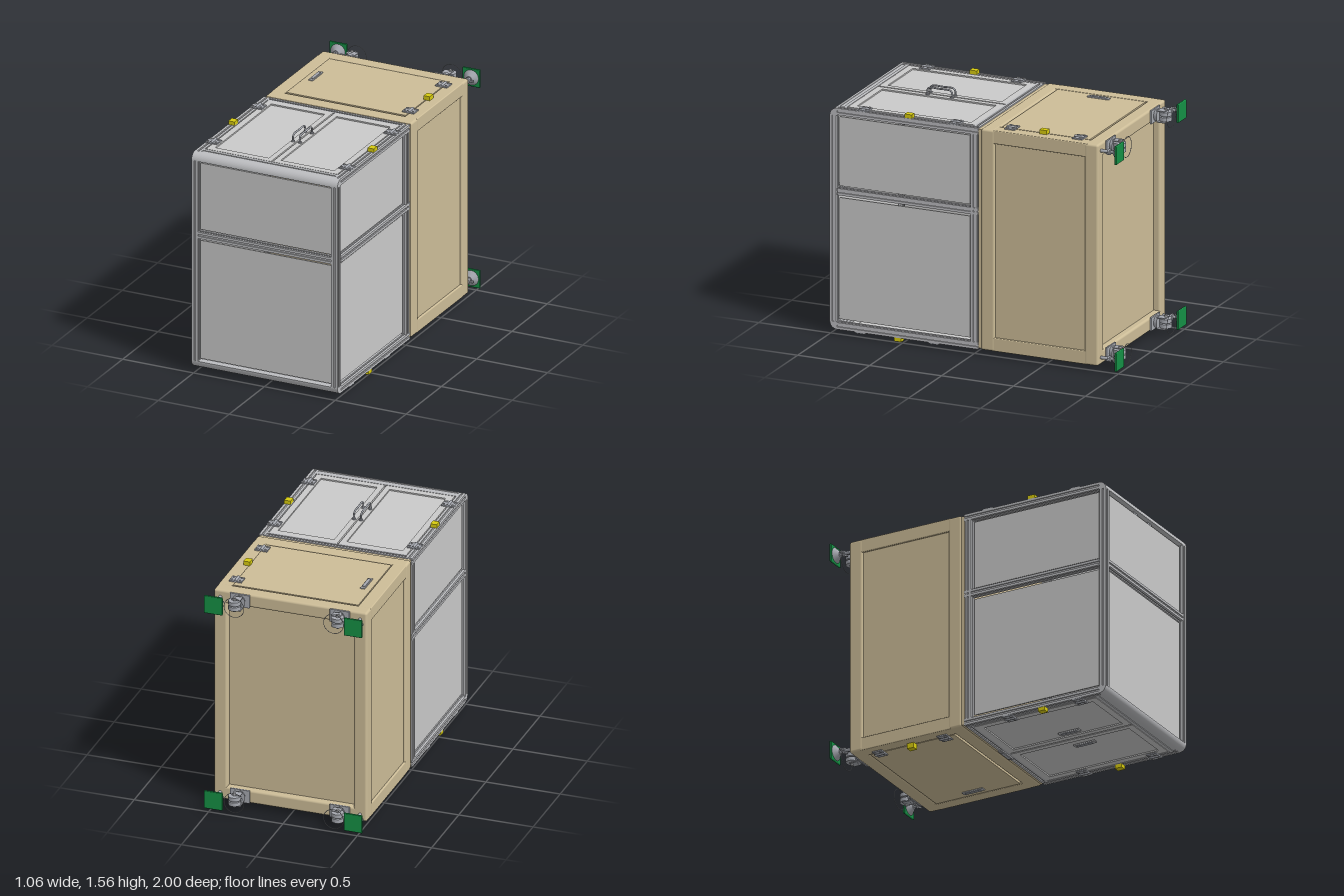
import * as THREE from 'three';
import { RoundedBoxGeometry } from 'three/addons/geometries/RoundedBoxGeometry.js';

const paint = (name, color) => {
  const m = new THREE.MeshStandardMaterial({ color });
  m.name = name;
  return m;
};

export function createModel() {
  const root = new THREE.Group();
  root.name = 'cabinetWithCage';
  const tan = paint('tan board', 0xcdbd98);
  const panelGrey = paint('panel grey', 0xcacaca);
  const frameGrey = paint('frame grey', 0xbcbdc0);
  const steel = paint('steel', 0xa6a9b0);
  const green = paint('green pad', 0x159045);
  const yellow = paint('yellow latch', 0xd8cc10);

  const add = (name, geo, mat, parent = root) => {
    const m = new THREE.Mesh(geo, mat);
    m.name = name;
    parent.add(m);
    return m;
  };
  // box given by its two extreme corners; r rounds the edges
  const block = (name, mat, x0, x1, y0, y1, z0, z1, r = 0, parent = root) => {
    const s = [Math.abs(x1 - x0), Math.abs(y1 - y0), Math.abs(z1 - z0)];
    const g = r ? new RoundedBoxGeometry(...s, 3, r) : new THREE.BoxGeometry(...s);
    add(name, g, mat, parent).position.set((x0 + x1) / 2, (y0 + y1) / 2, (z0 + z1) / 2);
  };
  const rod = (name, mat, r0, r1, len, axis, x, y, z, parent = root) => {
    const g = new THREE.CylinderGeometry(r0, r1, len, 24);
    if (axis === 'z') g.rotateX(Math.PI / 2);
    if (axis === 'x') g.rotateZ(Math.PI / 2);
    add(name, g, mat, parent).position.set(x, y, z);
  };

  const W = 0.515, B = 0.035, T = 1.505, MID = (B + T) / 2;

  // ---- slotted frame rails of the front cage ----
  const slotted = () => {
    const h = 0.0225, n = 0.006, d = 0.008, s = new THREE.Shape();
    for (let i = 0; i < 4; i++) {
      const c = Math.cos(i * Math.PI / 2), q = Math.sin(i * Math.PI / 2);
      [[-h, -h], [-n, -h], [-n, -h + d], [n, -h + d], [n, -h]].forEach(([a, b], k) => {
        const x = a * c - b * q, y = a * q + b * c;
        i || k ? s.lineTo(x, y) : s.moveTo(x, y);
      });
    }
    return s;
  };
  const rail = (name, axis, len, x, y, z) => {
    const g = new THREE.ExtrudeGeometry(slotted(), { depth: len, bevelEnabled: false });
    g.translate(0, 0, -len / 2);
    if (axis === 'x') g.rotateY(Math.PI / 2);
    if (axis === 'y') g.rotateX(Math.PI / 2);
    add(name, g, frameGrey).position.set(x, y, z);
  };
  const E = 0.0225;
  for (const sx of [-1, 1]) {
    const x = sx * (W - E);
    rail('frontPost', 'y', 1.38, x, MID, 1 - E);
    rail('rearPost', 'y', 1.38, x, MID, -0.0025);
    for (const y of [T - E, 0.95, B + E]) rail('sideRail', 'z', 0.98, x, y, 0.46);
    // side panels, with a narrow gap round them
    block('upperSidePanel', panelGrey, sx * 0.485, sx * 0.495, 0.985, 1.445, 0.035, 0.94);
    block('lowerSidePanel', panelGrey, sx * 0.485, sx * 0.495, 0.1, 0.907, 0.035, 0.94);
  }
  rail('frontMiddleRail', 'x', 0.94, 0, 0.95, 1 - E);
  block('upperFrontPanel', panelGrey, -0.46, 0.46, 0.985, 1.44, 0.97, 0.98);
  block('lowerFrontPanel', panelGrey, -0.46, 0.46, 0.1, 0.91, 0.97, 0.98);

  // rounded front edge rails, top and bottom
  const edge = new THREE.Shape();
  edge.moveTo(0, 0);
  edge.lineTo(0.05, 0);
  edge.absarc(0, 0, 0.05, 0, Math.PI / 2, false);
  edge.lineTo(0, 0);
  for (const top of [true, false]) {
    const g = new THREE.ExtrudeGeometry(edge, { depth: 2 * W, bevelEnabled: false, curveSegments: 10 });
    g.translate(0, 0, -W).rotateY(-Math.PI / 2);
    if (!top) g.rotateX(Math.PI / 2);
    add('roundedEdgeRail', g, frameGrey).position.set(0, top ? T - 0.05 : B + 0.05, 0.95);
  }

  // ---- top and bottom lids, doors and fittings ----
  for (const up of [1, -1]) {
    const Y = d => (up > 0 ? T + d : B - d); // d is height above the outer face
    const flat = (name, mat, x0, x1, d0, d1, z0, z1, r = 0) =>
      block(name, mat, x0, x1, Y(d0), Y(d1), z0, z1, r);
    rail('rearCrossRail', 'x', 0.94, 0, Y(-E), -0.0075);
    flat('frontCrossRail', frameGrey, -0.47, 0.47, -0.03, 0, 0.902, 0.925);
    flat('frontCrossRail', frameGrey, -0.47, 0.47, -0.03, -0.003, 0.928, 0.955);

    const hinge = (x, z) => {
      for (const k of [-1, 1]) {
        flat('hingeLeaf', steel, x + k * 0.008, x + k * 0.042, 0, 0.008, z - 0.035, z + 0.035);
        for (const j of [-1, 1])
          rod('hingeScrew', frameGrey, 0.007, 0.007, 0.006, 'y', x + k * 0.028, Y(0.01), z + j * 0.02);
      }
      rod('hingePin', steel, 0.009, 0.009, 0.07, 'z', x, Y(0.008), z);
    };
    const pull = (x, z, alongX) => {
      const a = alongX ? 0.07 : 0.015, b = alongX ? 0.015 : 0.075;
      flat('pullPlate', frameGrey, x - a, x + a, -0.004, 0.005, z - b, z + b);
      flat('pullGrip', steel, x - a * 0.75, x + a * 0.75, 0.004, 0.01, z - b * 0.75, z + b * 0.75, 0.002);
    };

    const hz = up > 0 ? [0.14, 0.775] : [0.28, 0.79];
    for (const sx of [-1, 1]) {
      // framed cage door
      const a = 0.005, b = 0.463;
      flat('doorStile', panelGrey, sx * a, sx * 0.042, -0.018, 0, 0.015, 0.898);
      flat('doorStile', panelGrey, sx * 0.42, sx * b, -0.018, 0, 0.015, 0.898);
      flat('doorRail', panelGrey, sx * 0.042, sx * 0.42, -0.018, 0, 0.015, 0.06);
      flat('doorRail', panelGrey, sx * 0.042, sx * 0.42, -0.018, 0, 0.852, 0.898);
      flat('doorPanel', panelGrey, sx * 0.04, sx * 0.422, -0.016, -0.009, 0.058, 0.854);
      hz.forEach(z => hinge(sx * 0.472, z));
      const zl = up > 0 ? 0.455 : 0.53;
      flat('yellowLatch', yellow, sx * 0.47, sx * 0.513, 0, 0.025, zl - 0.025, zl + 0.025);
      if (up > 0) {
        // bow handle
        const pts = [[1.5, 0.375], [1.54, 0.375], [1.553, 0.39], [1.554, 0.46], [1.553, 0.53], [1.54, 0.545], [1.5, 0.545]]
          .map(([y, z]) => new THREE.Vector3(sx * 0.024, y, z));
        add('doorHandle', new THREE.TubeGeometry(new THREE.CatmullRomCurve3(pts), 40, 0.006, 10), steel);
        for (const z of [0.375, 0.545]) rod('handleFoot', steel, 0.012, 0.012, 0.008, 'y', sx * 0.024, 1.508, z);
        block('doorCatch', steel, sx * 0.065, sx * 0.115, 1.445, 1.46, 0.95, 0.975);
      } else pull(sx * 0.1, 0.5, false);
    }
    // cabinet door
    flat('cabinetDoor', tan, -0.421, 0.421, -0.03, -0.002, -0.765, -0.155);
    [-0.225, -0.695].forEach(z => hinge(up * 0.42, z));
    flat('yellowLatch', yellow, up * 0.412, up * 0.455, 0, up > 0 ? 0.028 : 0.035, -0.48, -0.43);
    pull(up * -0.367, -0.465, false);
    if (up < 0) pull(0, -0.02, true);
  }

  // ---- tan cabinet: core and twelve rounded beams ----
  block('cabinetCore', tan, -0.5, 0.5, 0.06, 1.48, -0.82, -0.03);
  block('cabinetLip', tan, -0.508, 0.508, 0.043, 1.497, -0.06, -0.03);
  const beams = [[-0.145, -0.05], [-0.865, -0.77]];
  for (const [z0, z1] of beams) {
    for (const sx of [-1, 1]) block('cabinetPost', tan, sx * 0.425, sx * W, B, T, z0, z1, 0.015);
    block('cabinetCrossBeam', tan, -W, W, T - 0.09, T, z0, z1, 0.015);
    block('cabinetCrossBeam', tan, -W, W, B, B + 0.09, z0, z1, 0.015);
  }
  for (const sx of [-1, 1]) {
    block('cabinetSideBeam', tan, sx * 0.425, sx * 0.513, T - 0.09, T - 0.001, -0.79, -0.13, 0.006);
    block('cabinetSideBeam', tan, sx * 0.425, sx * 0.513, B + 0.001, B + 0.09, -0.79, -0.13, 0.006);
  }

  // ---- castors and levelling feet on the back ----
  for (const sx of [-1, 1]) for (const y of [0.0825, 1.4575]) {
    const foot = new THREE.Group();
    foot.name = 'levellingFoot';
    foot.position.set(sx * 0.47, y, 0);
    root.add(foot);
    block('greenPad', green, -0.062, 0.062, -0.062, 0.062, -1, -0.986, 0.005, foot);
    rod('footCone', steel, 0.018, 0.052, 0.03, 'z', 0, 0, -0.971, foot);
    rod('footStem', steel, 0.011, 0.011, 0.1, 'z', 0, 0, -0.91, foot);
    rod('footNut', steel, 0.02, 0.02, 0.014, 'z', 0, 0, -0.925, foot);
    block('wingNut', steel, -0.045, 0.045, -0.006, 0.006, -0.94, -0.922, 0.003, foot);

    const castor = new THREE.Group();
    castor.name = 'castor';
    castor.position.set(sx * 0.335, y, 0);
    root.add(castor);
    block('castorPlate', steel, -0.066, 0.066, -0.045, 0.045, -0.877, -0.864, 0.003, castor);
    rod('castorSwivel', steel, 0.035, 0.045, 0.025, 'z', 0, 0, -0.888, castor);
    for (const k of [-1, 1]) {
      block('castorFork', steel, -0.03, 0.03, k * 0.034, k * 0.04, -0.95, -0.895, 0.002, castor);
      rod('castorWheel', steel, 0.04, 0.04, 0.026, 'y', sx * 0.012, k * 0.017, -0.94, castor);
    }
    rod('castorAxle', frameGrey, 0.01, 0.01, 0.096, 'y', sx * 0.012, 0, -0.94, castor);
    const ring = add('castorRing', new THREE.TorusGeometry(0.067, 0.002, 6, 48), steel, castor);
    ring.position.z = -0.984;
  }
  return root;
}
